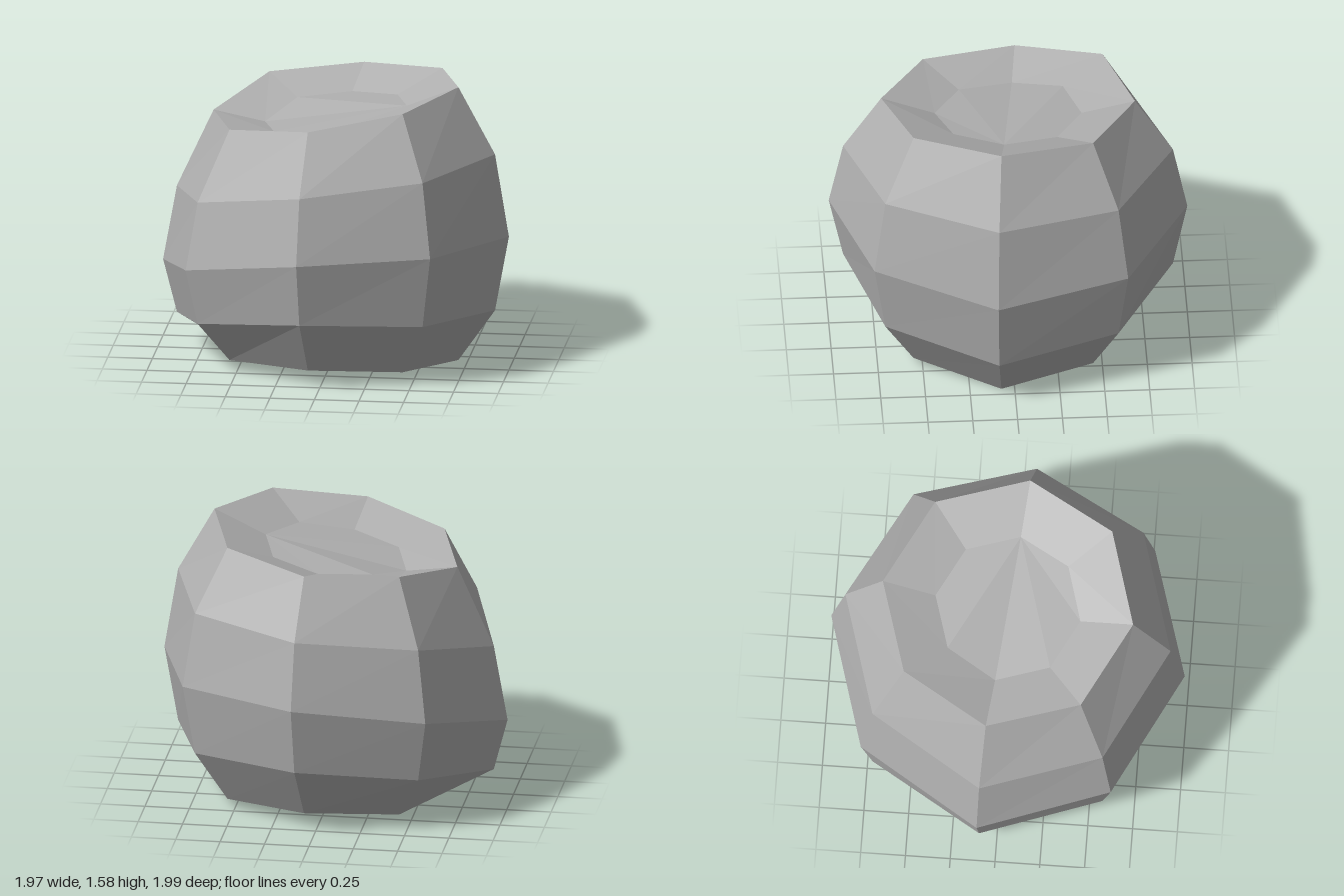
import * as THREE from 'three';

const SIDES = 8;
const TWIST = THREE.MathUtils.degToRad(6);

// Rings from the base up to the rim and down into the dish:
// radius, then the height of each corner, which makes the form lopsided
const rings = [
  { r: 0.708, y: [0, 0.05, 0.085, 0.06, 0.065, 0.05, 0.085, 0.05] },
  { r: 0.92, y: [0.3, 0.36, 0.4, 0.3, 0.18, 0.32, 0.4, 0.36] },
  { r: 1.0, y: [0.73, 0.77, 0.76, 0.62, 0.48, 0.68, 0.79, 0.77] },
  { r: 0.92, y: [1.2, 1.19, 1.13, 1.0, 0.91, 1.09, 1.17, 1.19] },
  { r: 0.708, y: [1.575, 1.54, 1.46, 1.39, 1.36, 1.46, 1.49, 1.54] },
  { r: 0.41, y: [1.45, 1.43, 1.37, 1.335, 1.31, 1.38, 1.4, 1.43] },
];

function corner(ring, i) {
  const k = i % SIDES;
  const a = TWIST + (k / SIDES) * Math.PI * 2;
  return [0.988 * ring.r * Math.cos(a), ring.y[k], ring.r * Math.sin(a)];
}

// Band of quads between two rings
function band(a, b) {
  const out = [];
  for (let i = 0; i < SIDES; i++) {
    const a0 = corner(a, i), a1 = corner(a, i + 1);
    const b0 = corner(b, i), b1 = corner(b, i + 1);
    out.push(a1, a0, b0, a1, b0, b1);
  }
  return out;
}

// Polygon closing a ring, facing up or down
function cap(ring, up) {
  const out = [];
  for (let i = 1; i < SIDES - 1; i++) {
    const p = corner(ring, i), q = corner(ring, i + 1);
    out.push(corner(ring, 0), up ? q : p, up ? p : q);
  }
  return out;
}

export function createModel() {
  const model = new THREE.Group();
  model.name = 'facetedPot';
  const stone = new THREE.MeshStandardMaterial({ color: 0xb0b0b0 });
  stone.name = 'stone grey';
  stone.flatShading = true;

  function addPart(name, points) {
    const geometry = new THREE.BufferGeometry();
    geometry.setAttribute('position', new THREE.Float32BufferAttribute(points.flat(), 3));
    geometry.computeVertexNormals();
    const mesh = new THREE.Mesh(geometry, stone);
    mesh.name = name;
    model.add(mesh);
  }

  // Rounded wall
  addPart('wall', [0, 1, 2, 3].flatMap((i) => band(rings[i], rings[i + 1])));
  // Underside
  addPart('base', cap(rings[0], false));
  // Sloping inner rim and the floor of the shallow dish
  addPart('rim', band(rings[4], rings[5]));
  addPart('dishFloor', cap(rings[5], true));

  return model;
}
